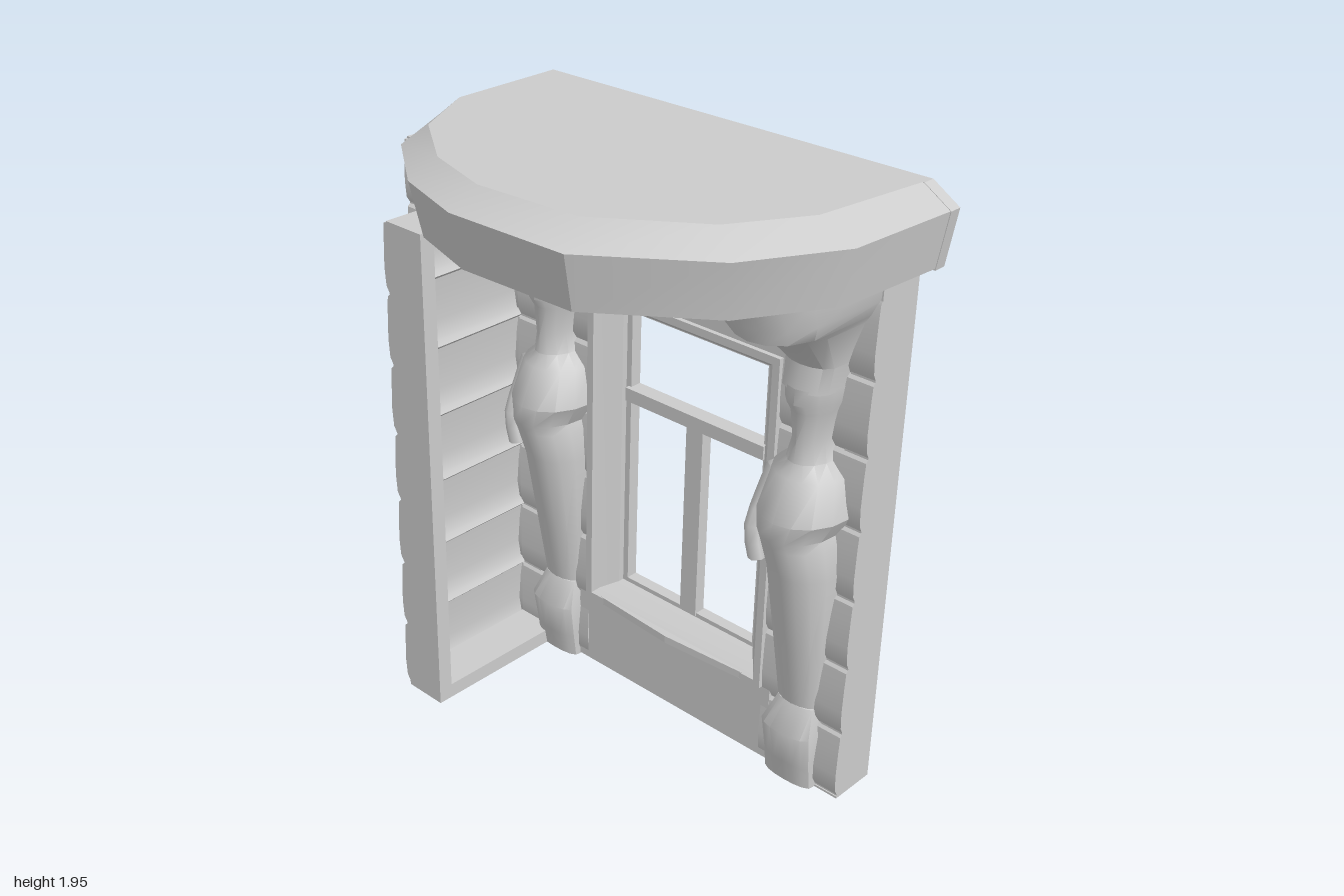
import * as THREE from 'three';
import { toCreasedNormals } from 'three/addons/utils/BufferGeometryUtils.js';

const mat = new THREE.MeshStandardMaterial({ color: 0xcccccc, side: THREE.DoubleSide });

function add(parent, name, geo) {
  const m = new THREE.Mesh(geo, mat);
  m.name = name;
  parent.add(m);
  return m;
}

// Box given by its two corners
function box(parent, name, x0, x1, y0, y1, z0, z1) {
  const g = new THREE.BoxGeometry(x1 - x0, y1 - y0, z1 - z0);
  g.translate((x0 + x1) / 2, (y0 + y1) / 2, (z0 + z1) / 2);
  return add(parent, name, g);
}

// Skin over rows of [x, y, z] points
function skin(rows, closed = false, crease = 0.6) {
  const n = rows[0].length, pos = rows.flat(2), idx = [];
  for (let r = 0; r < rows.length - 1; r++) {
    for (let i = 0; i < (closed ? n : n - 1); i++) {
      const a = r * n + i, b = r * n + (i + 1) % n;
      idx.push(a, b, b + n, a, b + n, a + n);
    }
  }
  const g = new THREE.BufferGeometry();
  g.setAttribute('position', new THREE.Float32BufferAttribute(pos, 3));
  g.setIndex(idx);
  return toCreasedNormals(g, crease);
}

const shapeOf = (pts) => new THREE.Shape(pts.map((p) => new THREE.Vector2(p[0], p[1])));

// Bulging horizontal courses, facing +z, between two heights
const COURSE = 0.234;
function courses(x0, x1, y0, y1, z, bulge = 0.025) {
  const pts = [];
  for (let k = 0; k < 7; k++) {
    const b = 0.012 + k * COURSE;
    for (const [t, d] of [[0, 0], [0.1, 0.75], [0.35, 1], [0.75, 0.8], [0.95, 0.6]]) {
      const y = b + t * COURSE;
      if (y > y0 && y < y1) pts.push([y, d]);
    }
  }
  const line = [[y0, 0.3], ...pts, [y1, 0.3]];
  return skin(line.map(([y, d]) => [[x0, y, z - 0.02], [x0, y, z + d * bulge], [x1, y, z + d * bulge], [x1, y, z - 0.02]]));
}

// Siding panel: four-sided frame open at the back, courses in front
function sidingPanel(name, width, height, depth) {
  const g = new THREE.Group(), w = width / 2, t = 0.05;
  g.name = name;
  for (const s of [-1, 1]) box(g, 'frameStile', s < 0 ? -w : w - t, s < 0 ? -w + t : w, 0, height, -depth, 0);
  box(g, 'frameBottom', -w + t, w - t, 0, t, -depth, 0);
  box(g, 'frameTop', -w + t, w - t, height - t, height, -depth, 0);
  add(g, 'sidingCourses', courses(-w, w, 0.01, height - 0.005, -0.002, 0.02));
  return g;
}

// Half-round column against the wall; rings are [y, left x, right x, front z]
function halfLoft(rings, power = 0.8) {
  const back = -0.27;
  return skin(rings.map(([y, l, r, f]) => {
    const row = [];
    for (let i = 0; i <= 8; i++) {
      const a = (i / 8 - 0.5) * Math.PI;
      row.push([(l + r) / 2 + (r - l) / 2 * Math.sin(a), y, back + (f - back) * Math.max(0, Math.cos(a)) ** power]);
    }
    return row;
  }), false, 0.7);
}

export function createModel() {
  const model = new THREE.Group();
  model.name = 'windowWithBalcony';

  // Side walls: one in line with the facade, one crossing it
  const sideWall = sidingPanel('sideWall', 0.54, 1.645, 0.15);
  sideWall.position.set(-0.73, 0, -0.26);
  const crossWall = sidingPanel('crossWall', 0.82, 1.645, 0.15);
  crossWall.rotation.y = -Math.PI / 2;
  crossWall.position.set(-0.463, 0, -0.13);
  model.add(sideWall, crossWall);

  // Main wall: frame open at the back
  const wall = new THREE.Group();
  wall.name = 'mainWall';
  model.add(wall);
  box(wall, 'rightPost', -0.46, -0.38, 0, 1.72, -0.41, -0.25);
  box(wall, 'leftPost', 0.82, 0.9, 0, 1.72, -0.41, -0.25);
  box(wall, 'bottomRail', -0.38, 0.82, 0, 0.07, -0.41, -0.25);
  box(wall, 'topRail', -0.38, 0.82, 1.62, 1.72, -0.41, -0.25);
  const face = shapeOf([[-0.46, 0], [0.9, 0], [0.9, 1.72], [-0.46, 1.72]]);
  face.holes.push(new THREE.Path([[-0.12, 0.29], [-0.12, 1.37], [0.58, 1.37], [0.58, 0.29]].map((p) => new THREE.Vector2(...p))));
  const faceGeo = new THREE.ExtrudeGeometry(face, { depth: 0.02, bevelEnabled: false });
  faceGeo.translate(0, 0, -0.272);
  add(wall, 'wallFace', faceGeo);
  add(wall, 'rightCourses', courses(-0.46, -0.14, 0.01, 1.65, -0.252, 0.016));
  add(wall, 'leftCourses', courses(0.6, 0.9, 0.01, 1.65, -0.252, 0.016));
  box(wall, 'apron', -0.18, 0.63, 0.01, 0.27, -0.26, -0.24);
  box(wall, 'lintel', -0.18, 0.63, 1.39, 1.65, -0.26, -0.24);

  // Window: stepped casing, transom and mullion
  const win = new THREE.Group();
  win.name = 'window';
  model.add(win);
  const steps = [
    [-0.14, 0.60, 0.27, 1.39, -0.26], [-0.14, 0.60, 0.27, 1.39, -0.225], [-0.115, 0.575, 0.29, 1.365, -0.225],
    [-0.10, 0.555, 0.305, 1.35, -0.25], [-0.06, 0.51, 0.325, 1.315, -0.30], [-0.06, 0.51, 0.325, 1.315, -0.32],
    [-0.04, 0.49, 0.34, 1.30, -0.32], [-0.04, 0.49, 0.34, 1.30, -0.36], [-0.08, 0.53, 0.31, 1.335, -0.36],
    [-0.12, 0.58, 0.29, 1.37, -0.27],
  ];
  add(win, 'casing', skin(steps.map(([a, b, c, d, z]) => [[a, c, z], [b, c, z], [b, d, z], [a, d, z]]), true, 0.3));
  box(win, 'transom', -0.05, 0.5, 1.0, 1.045, -0.36, -0.305);
  box(win, 'mullion', 0.195, 0.26, 0.33, 1.0, -0.355, -0.315);
  const sill = shapeOf([[-0.13, -0.25], [0.59, -0.25], [0.52, -0.225], [0.23, -0.205], [-0.06, -0.225]].map(([x, z]) => [x, -z]));
  const sillGeo = new THREE.ExtrudeGeometry(sill, { depth: 0.025, bevelEnabled: false });
  sillGeo.rotateX(-Math.PI / 2);
  sillGeo.translate(0, 0.268, 0);
  add(win, 'sill', sillGeo);

  // Carved figures on plinths carrying the corbels
  const plinth = [[0, 0.635, 0.82, -0.21], [0.08, 0.635, 0.82, -0.195], [0.2, 0.63, 0.825, -0.17],
    [0.29, 0.665, 0.805, -0.215], [0.295, 0.7, 0.77, -0.26]];
  const figure = [[0.26, 0.655, 0.81, -0.22], [0.5, 0.635, 0.825, -0.175], [0.78, 0.62, 0.845, -0.115],
    [0.88, 0.60, 0.835, -0.09], [0.91, 0.595, 0.825, -0.08], [0.98, 0.59, 0.865, -0.07], [1.1, 0.61, 0.84, -0.125],
    [1.14, 0.655, 0.795, -0.15], [1.21, 0.68, 0.785, -0.145], [1.3, 0.665, 0.8, -0.14], [1.33, 0.65, 0.81, -0.125], [1.38, 0.645, 0.815, -0.125]];
  const corbel = [[1.37, 0.645, 0.812, -0.13], [1.45, 0.645, 0.82, -0.14], [1.58, 0.625, 0.86, 0.0],
    [1.605, 0.615, 0.875, 0.11], [1.65, 0.56, 0.895, 0.13], [1.73, 0.49, 0.9, 0.17]];
  for (const side of ['left', 'right']) {
    const g = new THREE.Group();
    g.name = side + 'Support';
    if (side === 'right') g.position.x = -1;
    add(g, 'plinth', halfLoft(plinth, 0.35));
    add(g, 'figureBody', halfLoft(figure));
    // Hanging arm on the right of the body
    const arm = new THREE.CatmullRomCurve3([[0.63, 1.08, -0.2], [0.605, 0.97, -0.18], [0.6, 0.88, -0.15], [0.62, 0.79, -0.15]].map((p) => new THREE.Vector3(...p)));
    add(g, 'arm', new THREE.TubeGeometry(arm, 6, 0.028, 6));
    model.add(g);
    const mirror = ([y, l, r, f]) => [y, 0.46 - r, 0.46 - l, f];
    add(model, side + 'Corbel', halfLoft(side === 'left' ? corbel : corbel.map(mirror), 0.4));
  }
  // Bowed moulding between the corbels
  const bow = [];
  for (let i = 0; i <= 8; i++) bow.push(i / 8);
  add(model, 'corbelMoulding', skin([[1.64, -0.25, 0], [1.645, -0.2, 0.05], [1.68, -0.17, 0.08], [1.73, -0.13, 0.1]]
    .map(([y, z, b]) => bow.map((t) => [-0.1 + 0.66 * t, y + (i0(t) * 0.012), z + b * Math.sin(Math.PI * t)]))));

  // Balcony: hollow half-round slab with an open back
  const balcony = new THREE.Group();
  balcony.name = 'balcony';
  model.add(balcony);
  const rim = [[-0.545, -0.41], [-0.525, 0], [-0.39, 0.27], [-0.15, 0.45], [0.1, 0.53], [0.5, 0.52], [0.82, 0.28], [0.975, 0], [0.998, -0.41]];
  const top = [[-0.47, -0.41], [-0.465, -0.02], [-0.34, 0.21], [-0.12, 0.37], [0.11, 0.44], [0.45, 0.42], [0.73, 0.22], [0.86, 0.0], [0.91, -0.41]];
  const ring = (k, kz) => rim.map(([x, z]) => [0.227 + (x - 0.227) * k, -0.41 + (z + 0.41) * kz]);
  const low = ring(0.965, 0.96), under = ring(0.93, 0.88);
  const at = (pts, y) => pts.map(([x, z]) => [x, y, z]);
  add(balcony, 'balconyEdge', skin([at(under, 1.715), at(low, 1.725), at(rim, 1.89), at(top, 1.945)], false, 0.5));
  for (const [name, pts, y] of [['balconyTop', top, 1.945], ['balconyUnderside', under, 1.715]]) {
    const g = new THREE.ShapeGeometry(shapeOf(pts.map(([x, z]) => [x, -z])));
    g.rotateX(-Math.PI / 2);
    g.translate(0, y, 0);
    add(balcony, name, g);
  }
  const backRim = shapeOf([[-0.52, 1.72], [-0.545, 1.89], [-0.47, 1.945], [0.91, 1.945], [0.998, 1.89], [0.97, 1.72],
    [0.83, 1.72], [0.83, 1.86], [-0.4, 1.86], [-0.4, 1.72]]);
  const backGeo = new THREE.ExtrudeGeometry(backRim, { depth: 0.04, bevelEnabled: false });
  backGeo.translate(0, 0, -0.41);
  add(balcony, 'balconyBackRim', backGeo);

  return model;
}

// Shallow scallop along the moulding
function i0(t) {
  return Math.cos(t * Math.PI * 4);
}
